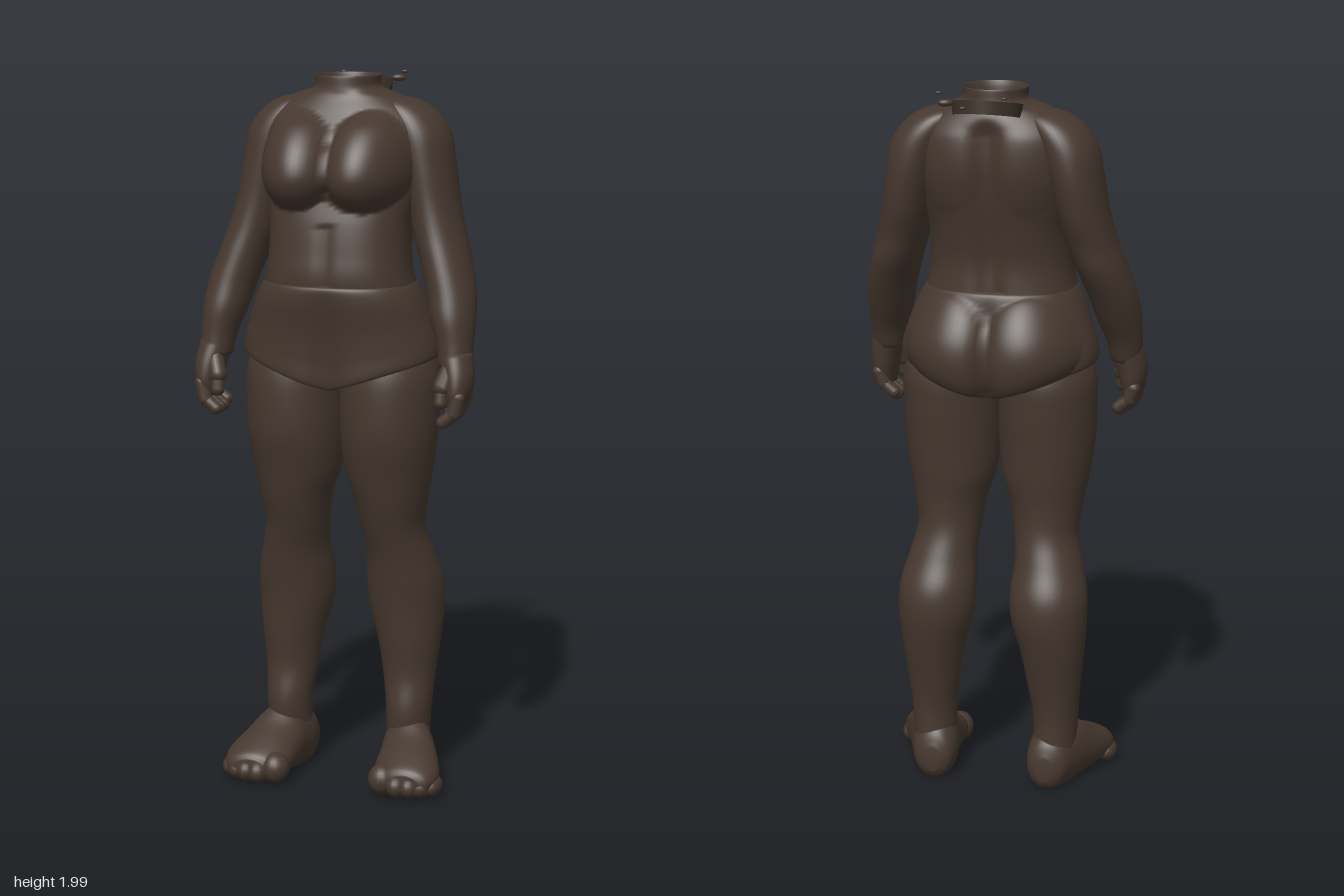
import * as THREE from 'three';

const skin = new THREE.MeshStandardMaterial({ color: 0x46382f });
skin.name = 'dark brown';
const strapMat = new THREE.MeshStandardMaterial({ color: 0x3c3028, side: THREE.DoubleSide });
strapMat.name = 'strap brown';

// Smooth skin through oval rings given as [x, y, z, halfWidth, halfDepth].
// axis 'y': horizontal rings, rows run upward; axis 'z': upright rings, rows run backward.
function loft(rows, { axis = 'y', side = 1, power = () => 1, seg = 40, sub = 5, rule } = {}) {
  const centre = new THREE.CatmullRomCurve3(rows.map(r => new THREE.Vector3(r[0] * side, r[1], r[2])), false, 'catmullrom');
  const size = new THREE.CatmullRomCurve3(rows.map(r => new THREE.Vector3(r[3], r[4], 0)), false, 'catmullrom');
  const n = (rows.length - 1) * sub, pos = [], index = [];
  const bent = (v, e) => Math.sign(v) * Math.pow(Math.abs(v), e);
  const add = p => { if (rule) rule(p); pos.push(p.x, p.y, p.z); };
  for (let i = 0; i <= n; i++) {
    const c = centre.getPoint(i / n), s = size.getPoint(i / n), e = power(c.y);
    for (let j = 0; j < seg; j++) {
      const t = j / seg * Math.PI * 2, u = bent(Math.cos(t), e) * s.x, v = bent(Math.sin(t), e) * s.y;
      add(axis === 'y' ? new THREE.Vector3(c.x + u, c.y, c.z + v) : new THREE.Vector3(c.x + u, c.y + v, c.z));
      if (i < n) {
        const a = i * seg + j, b = i * seg + (j + 1) % seg;
        index.push(a, a + seg, b, b, a + seg, b + seg);
      }
    }
  }
  // End caps
  const first = (n + 1) * seg, last = n * seg;
  add(centre.getPoint(0));
  add(centre.getPoint(1));
  for (let j = 0; j < seg; j++) {
    const k = (j + 1) % seg;
    index.push(first, j, k, first + 1, last + k, last + j);
  }
  const g = new THREE.BufferGeometry();
  g.setAttribute('position', new THREE.Float32BufferAttribute(pos, 3));
  g.setIndex(index);
  g.computeVertexNormals();
  return g;
}

const groove = (x, w) => Math.exp(-((x / w) ** 2));

// Mirrored pair of rounded swellings, with separate radii above and below the centre
function bump(p, cx, cy, rx, up, down, e) {
  const dx = (Math.abs(p.x) - cx) / rx, dy = (p.y - cy) / (p.y > cy ? up : down);
  return Math.pow(Math.max(0, 1 - dx * dx - dy * dy), e);
}

export function createModel() {
  const model = new THREE.Group();
  model.name = 'figure';

  const put = (name, geometry, parent = model, material = skin) => {
    const mesh = new THREE.Mesh(geometry, material);
    mesh.name = name;
    parent.add(mesh);
    return mesh;
  };
  const ball = (name, parent, p, r) => {
    const mesh = put(name, new THREE.SphereGeometry(1, 20, 14), parent);
    mesh.position.set(...p);
    mesh.scale.set(...r);
    return mesh;
  };
  // Rounded rod between two points
  const rod = (name, parent, a, b, r) => {
    const A = new THREE.Vector3(...a), B = new THREE.Vector3(...b), d = B.clone().sub(A);
    const mesh = put(name, new THREE.CapsuleGeometry(r, d.length(), 6, 12), parent);
    mesh.position.copy(A).add(B).multiplyScalar(0.5);
    mesh.quaternion.setFromUnitVectors(new THREE.Vector3(0, 1, 0), d.normalize());
  };

  // Torso with chest, shoulder blades and spine, ending in the open hollow neck
  put('torso', loft([
    [0, 1.36, 0.035, 0.225, 0.16], [0, 1.45, 0.045, 0.203, 0.16], [0, 1.52, 0.042, 0.195, 0.155],
    [0, 1.6, 0.028, 0.197, 0.155], [0, 1.68, 0.008, 0.215, 0.152], [0, 1.76, -0.005, 0.228, 0.15],
    [0, 1.84, -0.018, 0.228, 0.138], [0, 1.89, -0.028, 0.208, 0.122], [0, 1.93, -0.032, 0.155, 0.102],
    [0, 1.953, -0.03, 0.094, 0.094], [0, 1.985, -0.03, 0.09, 0.09], [0, 1.975, -0.03, 0.084, 0.084],
    [0, 1.93, -0.03, 0.072, 0.072], [0, 1.9, -0.03, 0.03, 0.03],
  ], {
    power: y => 0.86 + 0.14 * THREE.MathUtils.smoothstep(y, 1.84, 1.95), seg: 112, sub: 9,
    rule: p => {
      const fade = 1 - THREE.MathUtils.smoothstep(p.y, 1.86, 1.92);
      const facing = THREE.MathUtils.smoothstep(p.z, -0.01, 0.09);
      p.z += 0.105 * facing * fade * bump(p, 0.1, 1.735, 0.112, 0.165, 0.1, 0.62);
      if (p.z < -0.05) {
        p.z += fade * 0.024 * groove(p.x, 0.035);
        p.z -= fade * 0.012 * bump(p, 0.11, 1.78, 0.1, 0.13, 0.13, 1);
      }
      if (p.z > 0.08 && p.y < 1.6) p.z -= 0.008 * groove(p.x, 0.02);
    },
  }));

  // Shorts shaped over the seat, with a hem that rises to the sides
  put('shorts', loft([
    [0, 1.14, 0.022, 0.258, 0.152], [0, 1.15, 0.022, 0.274, 0.168], [0, 1.22, 0.021, 0.274, 0.17],
    [0, 1.3, 0.025, 0.259, 0.172], [0, 1.38, 0.038, 0.235, 0.172], [0, 1.425, 0.044, 0.213, 0.167],
    [0, 1.437, 0.044, 0.198, 0.153],
  ], {
    power: () => 0.88, seg: 112, sub: 8,
    rule: p => {
      const f = THREE.MathUtils.clamp((1.43 - p.y) / 0.29, 0, 1);
      const back = THREE.MathUtils.smoothstep(-p.z, 0, 0.09);
      p.z -= 0.06 * back * bump(p, 0.112, 1.245, 0.135, 0.18, 0.15, 0.75);
      p.z -= Math.sign(p.z) * f * 0.03 * groove(p.x, p.z > 0 ? 0.045 : 0.02);
      p.y += 0.32 * Math.abs(p.x) * f * f;
    },
  }));

  for (const s of [1, -1]) {
    const side = new THREE.Group();
    side.name = s > 0 ? 'leftSide' : 'rightSide';
    model.add(side);

    put('leg', loft([
      [0.175, 0.09, -0.045, 0.06, 0.07], [0.178, 0.2, -0.038, 0.064, 0.075], [0.175, 0.3, -0.054, 0.075, 0.076],
      [0.172, 0.4, -0.062, 0.09, 0.093], [0.163, 0.5, -0.067, 0.107, 0.108], [0.16, 0.58, -0.058, 0.108, 0.112],
      [0.153, 0.66, -0.032, 0.095, 0.102], [0.14, 0.74, -0.005, 0.09, 0.1], [0.138, 0.82, 0.01, 0.102, 0.111],
      [0.133, 0.9, 0.016, 0.122, 0.126], [0.135, 1.0, 0.024, 0.134, 0.143], [0.136, 1.1, 0.022, 0.137, 0.15],
      [0.135, 1.19, 0.018, 0.134, 0.146], [0.13, 1.28, 0.02, 0.1, 0.11],
    ], { side: s }), side);

    // Foot turned slightly out, flat underneath
    put('foot', loft([
      [0.226, 0.045, 0.19, 0.045, 0.028], [0.225, 0.05, 0.175, 0.072, 0.042], [0.218, 0.058, 0.125, 0.094, 0.06],
      [0.206, 0.07, 0.06, 0.088, 0.078], [0.19, 0.084, 0, 0.077, 0.1], [0.173, 0.08, -0.06, 0.069, 0.1],
      [0.166, 0.07, -0.11, 0.054, 0.072], [0.164, 0.06, -0.13, 0.024, 0.035],
    ], { axis: 'z', side: s, rule: p => { p.y = Math.max(p.y, 0); } }), side);
    const toes = [[0.158, 0.157, 0.04], [0.203, 0.168, 0.031], [0.239, 0.163, 0.03], [0.27, 0.15, 0.029], [0.295, 0.128, 0.027]];
    for (const [x, z, r] of toes) ball('toe', side, [s * x, r * 1.1 + 0.004, z], [r, r * 1.1, 0.043]);

    put('arm', loft([
      [0.342, 1.22, 0.1, 0.044, 0.054], [0.337, 1.28, 0.085, 0.05, 0.062], [0.325, 1.35, 0.063, 0.062, 0.08],
      [0.312, 1.42, 0.035, 0.067, 0.09], [0.288, 1.5, 0.005, 0.069, 0.1], [0.265, 1.57, -0.012, 0.07, 0.1],
      [0.245, 1.65, -0.03, 0.07, 0.107], [0.225, 1.75, -0.04, 0.074, 0.112], [0.204, 1.83, -0.042, 0.08, 0.108],
      [0.172, 1.885, -0.042, 0.077, 0.094], [0.14, 1.918, -0.04, 0.06, 0.07], [0.12, 1.932, -0.038, 0.02, 0.03],
    ], { side: s }), side);

    // Hand with fingers curling inward
    put('palm', loft([
      [0.352, 1.11, 0.118, 0.022, 0.045], [0.357, 1.15, 0.115, 0.034, 0.06],
      [0.354, 1.2, 0.108, 0.043, 0.06], [0.341, 1.26, 0.094, 0.045, 0.054],
    ], { side: s }), side);
    for (let i = 0; i < 4; i++) {
      const z = 0.07 + i * 0.029, drop = i === 0 ? 0.012 : 0;
      rod('fingerBase', side, [s * 0.366, 1.145, z], [s * 0.355, 1.1 + drop, z + 0.002], 0.0195);
      rod('fingerTip', side, [s * 0.355, 1.1 + drop, z + 0.002], [s * 0.324, 1.075 + drop, z + 0.002], 0.0175);
    }
    rod('thumbBase', side, [s * 0.337, 1.22, 0.13], [s * 0.32, 1.17, 0.152], 0.025);
    rod('thumbTip', side, [s * 0.32, 1.17, 0.152], [s * 0.318, 1.13, 0.16], 0.019);
  }

  // Loose strap behind the neck, tipped up at the back
  const strap = new THREE.CylinderGeometry(0.096, 0.09, 0.036, 40, 1, true, Math.PI * 0.45, Math.PI * 1.1);
  strap.rotateX(0.22);
  put('neckStrap', strap, model, strapMat).position.set(0, 1.935, -0.123);

  // Small loose flakes around the strap
  for (const [x, y, z, r] of [[0.087, 1.965, -0.22, 0.02], [0.115, 1.985, -0.185, 0.009],
    [0.035, 1.955, -0.238, 0.009], [-0.07, 1.98, -0.213, 0.008]]) {
    const flake = ball('flake', model, [x, y, z], [r, r * 0.5, r * 0.6]);
    flake.rotation.y = 0.4;
  }
  return model;
}
